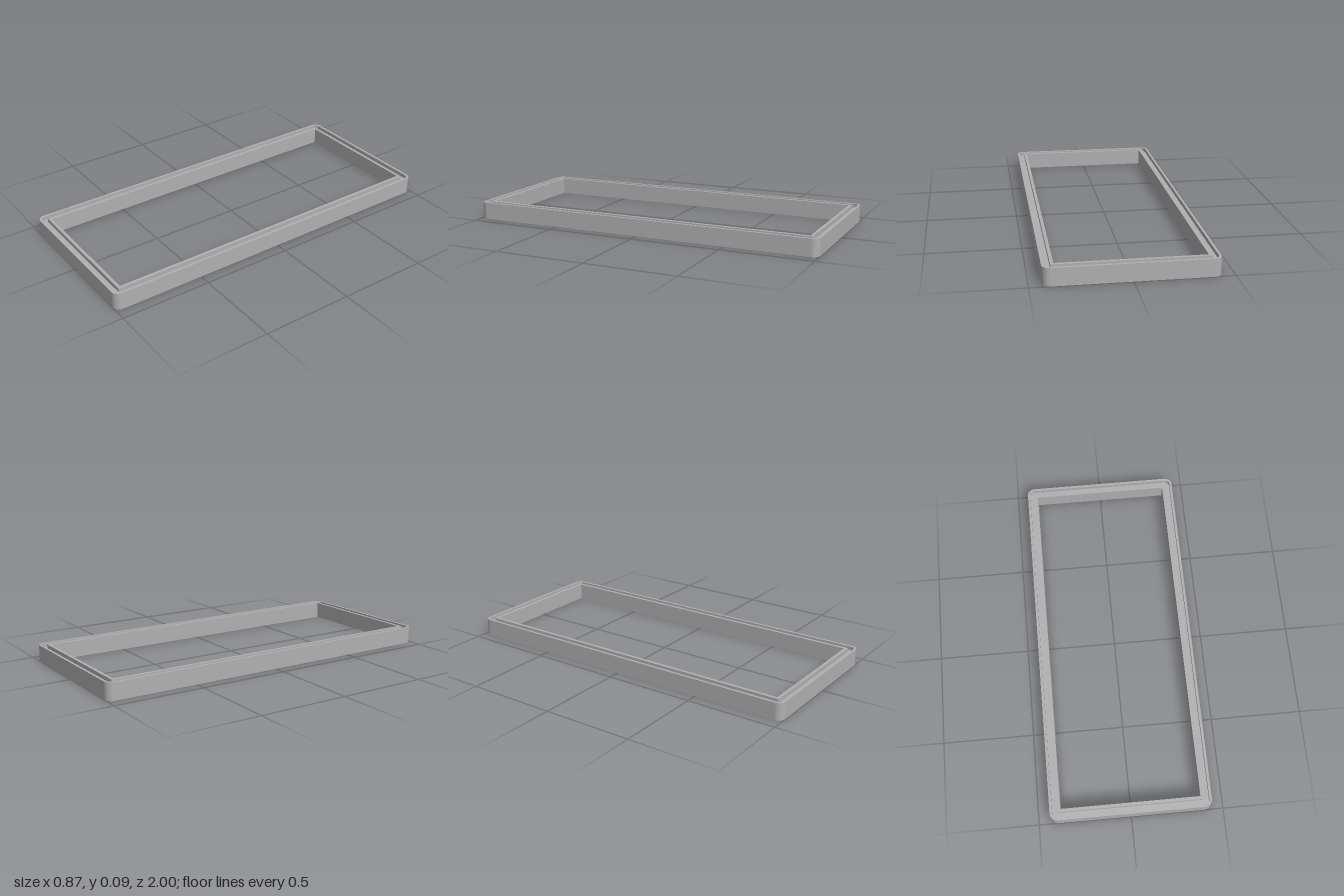
import * as THREE from 'three';

const HALF_X = 0.436, HALF_Z = 1.0, HEIGHT = 0.094;
const CORNER = 0.04, STEPS = 8;

// Points of a rounded rectangle set in from the outer edge, with outward directions
function ring(inset) {
  const r = Math.max(CORNER - inset, 0.002);
  const cx = HALF_X - inset - r, cz = HALF_Z - inset - r;
  const points = [];
  for (let q = 0; q < 4; q++) {
    const sx = q === 0 || q === 3 ? 1 : -1, sz = q < 2 ? 1 : -1;
    for (let i = 0; i <= STEPS; i++) {
      const t = (q + i / STEPS) * Math.PI / 2;
      const c = Math.cos(t), s = Math.sin(t);
      points.push({ x: sx * cx + r * c, z: sz * cz + r * s, c, s });
    }
  }
  return points;
}

// Sweeps a closed section of [inset, y] around the ring, each face with its own normals
function sweepFrame(section) {
  const pos = [], nor = [], idx = [];
  section.forEach((p, k) => {
    const q = section[(k + 1) % section.length];
    const out = q[1] - p[1], up = q[0] - p[0], len = Math.hypot(out, up);
    const A = ring(p[0]), B = ring(q[0]), n = A.length, base = pos.length / 3;
    for (let i = 0; i < n; i++) {
      for (const [v, y] of [[A[i], p[1]], [B[i], q[1]]]) {
        pos.push(v.x, y, v.z);
        nor.push(v.c * out / len, up / len, v.s * out / len);
      }
      const a = base + 2 * i, b = base + 2 * ((i + 1) % n);
      idx.push(a, a + 1, b, b, a + 1, b + 1);
    }
  });
  const geo = new THREE.BufferGeometry();
  geo.setAttribute('position', new THREE.Float32BufferAttribute(pos, 3));
  geo.setAttribute('normal', new THREE.Float32BufferAttribute(nor, 3));
  geo.setIndex(idx);
  return geo;
}

export function createModel() {
  const group = new THREE.Group();
  group.name = 'rectangularFrame';
  const grey = new THREE.MeshStandardMaterial({ color: 0xb0b0b0 });
  grey.name = 'grey';

  // Outer rim, groove and inner rim, the same above and below
  const H = HEIGHT, a = 0.014, b = 0.043, w = 0.06, d = 0.022;
  const section = [
    [0, 0], [0, H], [a, H], [a, H - d], [b, H - d], [b, H],
    [w, H], [w, 0], [b, 0], [b, d], [a, d], [a, 0],
  ];
  const frame = new THREE.Mesh(sweepFrame(section), grey);
  frame.name = 'groovedFrame';
  group.add(frame);
  return group;
}
